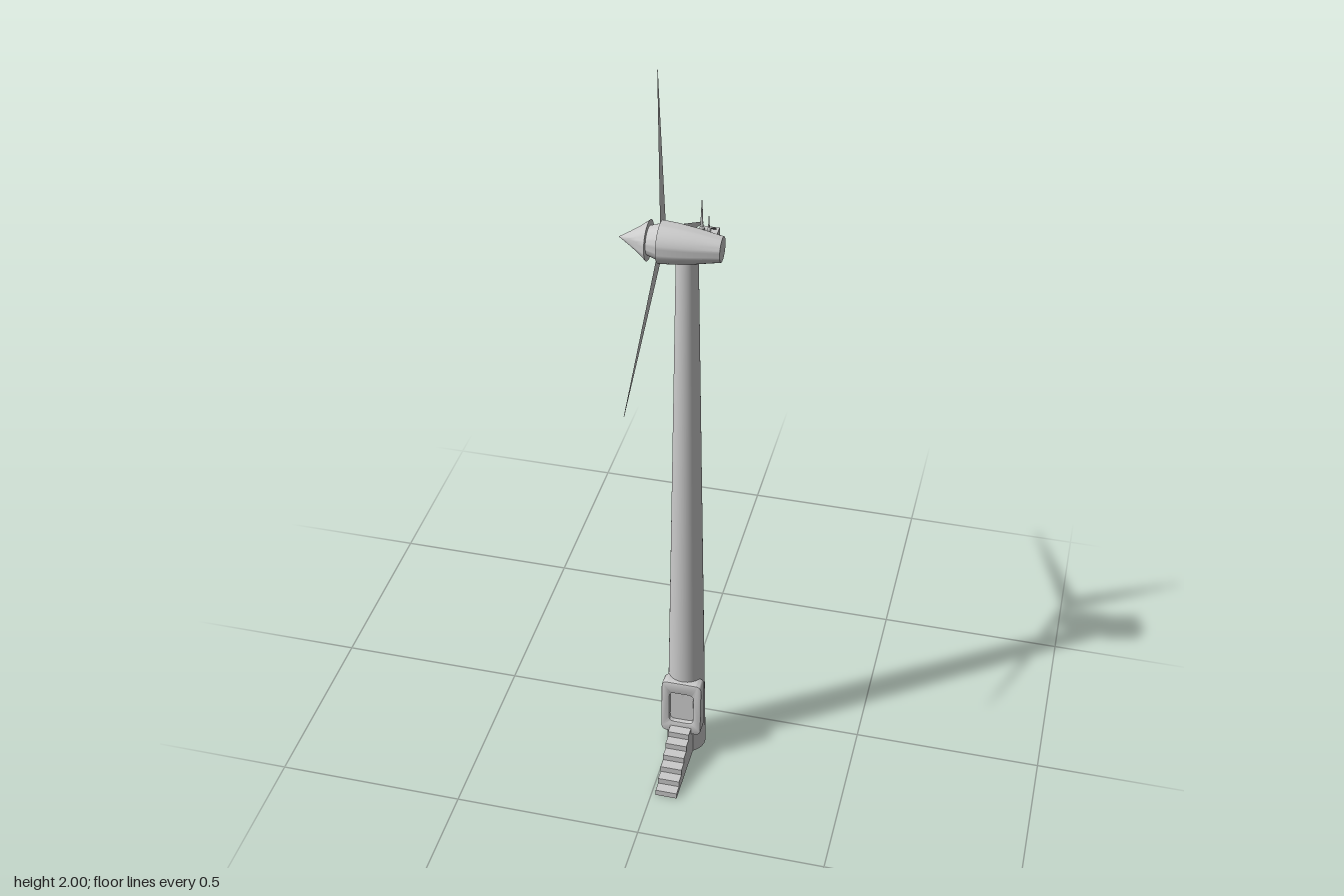
import * as THREE from 'three';
import { toCreasedNormals } from 'three/addons/utils/BufferGeometryUtils.js';

const TOWER = { x: 0.041, z: 0.126 };
const AXIS_Y = 1.587;

export function createModel() {
  const model = new THREE.Group();
  model.name = 'windTurbine';
  const grey = new THREE.MeshStandardMaterial({ color: 0xcccccc });
  const sheet = new THREE.MeshStandardMaterial({ color: 0xcccccc, side: THREE.DoubleSide });
  const dark = new THREE.MeshStandardMaterial({ color: 0x333333 });

  function add(name, geometry, x, y, z, material = grey, parent = model) {
    const mesh = new THREE.Mesh(geometry, material);
    mesh.name = name;
    mesh.position.set(x, y, z);
    parent.add(mesh);
    return mesh;
  }
  // Turned part with sharp profile corners; points are [radius, height]
  function turned(points, sides = 40) {
    const profile = points.map(([r, h]) => new THREE.Vector2(r, h));
    return toCreasedNormals(new THREE.LatheGeometry(profile, sides), 0.5);
  }
  function roundedRect(path, w, h, r) {
    const x = w / 2, y = h / 2;
    path.moveTo(-x + r, -y);
    path.lineTo(x - r, -y);
    path.quadraticCurveTo(x, -y, x, -y + r);
    path.lineTo(x, y - r);
    path.quadraticCurveTo(x, y, x - r, y);
    path.lineTo(-x + r, y);
    path.quadraticCurveTo(-x, y, -x, y - r);
    path.lineTo(-x, -y + r);
    path.quadraticCurveTo(-x, -y, -x + r, -y);
    return path;
  }

  // Tapered tower
  add('tower', new THREE.CylinderGeometry(0.027, 0.053, 1.56, 40), TOWER.x, 0.78, TOWER.z);

  // Nacelle parts, turned about the x axis
  const nacelle = new THREE.Group();
  nacelle.name = 'nacelle';
  nacelle.position.set(0, AXIS_Y, 0.124);
  nacelle.rotation.z = -Math.PI / 2;
  model.add(nacelle);
  add('noseCone', turned([[0, -0.126], [0.008, -0.112], [0.018, -0.096], [0.032, -0.075],
    [0.05, -0.052], [0, -0.052]]), 0, 0, 0, grey, nacelle);
  add('neck', turned([[0.035, -0.053], [0.045, -0.023]]), 0, 0, 0, grey, nacelle);
  add('nacelleBody', turned([[0, -0.024], [0.052, -0.024], [0.049, 0.015], [0.043, 0.06],
    [0.031, 0.125], [0, 0.125]]), 0, 0, 0, grey, nacelle);

  // Three thin blades cut as one star-shaped sheet in the yz plane
  const star = new THREE.Shape();
  const polar = (r, degrees) => {
    const a = THREE.MathUtils.degToRad(degrees);
    return [r * Math.cos(a), r * Math.sin(a)];
  };
  for (let i = 0; i < 3; i++) {
    const angle = 84.7 + i * 120;
    if (i === 0) star.moveTo(...polar(0.462, angle - 0.3));
    else star.lineTo(...polar(0.462, angle - 0.3));
    star.lineTo(...polar(0.462, angle + 0.3));
    star.lineTo(...polar(0.031, angle + 60));
  }
  star.closePath();
  const rotor = add('rotorBlades', new THREE.ShapeGeometry(star), -0.043, 1.538, 0.024, sheet);
  rotor.rotation.y = -Math.PI / 2;

  // Equipment box on the back of the nacelle, with its vent and two masts
  add('equipmentBox', new THREE.BoxGeometry(0.044, 0.055, 0.035), 0.085, 1.588, 0.0925);
  add('vent', new THREE.BoxGeometry(0.013, 0.002, 0.006), 0.094, 1.6158, 0.083, dark);
  for (const [name, x, radius, height] of [['tallMast', 0.069, 0.007, 0.085], ['shortMast', 0.086, 0.0045, 0.045]]) {
    add(name, turned([[0, 0], [radius, 0], [radius, 0.012], [radius * 0.5, 0.016],
      [radius * 0.35, height * 0.6], [0.0008, height], [0, height]], 12), x, 1.611, 0.098);
  }

  // Door frame leaning with the tower, and the recessed door
  const entrance = new THREE.Group();
  entrance.name = 'entrance';
  entrance.position.set(TOWER.x, 0.168, 0.155);
  entrance.rotation.x = -0.05;
  model.add(entrance);
  const frame = roundedRect(new THREE.Shape(), 0.104, 0.164, 0.014);
  const opening = roundedRect(new THREE.Path(), 0.072, 0.104, 0.018);
  frame.holes.push(opening);
  add('doorFrame', toCreasedNormals(new THREE.ExtrudeGeometry(frame, {
    depth: 0.032, bevelEnabled: true, bevelThickness: 0.003, bevelSize: 0.003, bevelSegments: 2, curveSegments: 8,
  }), 0.6), 0, 0, 0, grey, entrance);
  add('door', new THREE.BoxGeometry(0.076, 0.108, 0.012), 0, 0, 0.016, grey, entrance);

  // Solid stair block, drawn in profile (z, y) and extruded across x
  const steps = 6, run = 0.0275, rise = 0.0175, front = 0.357, width = 0.058;
  const profile = new THREE.Shape();
  profile.moveTo(0.15, 0);
  profile.lineTo(front, 0);
  for (let i = 0; i < steps; i++) {
    profile.lineTo(front - i * run, (i + 1) * rise);
    profile.lineTo(i === steps - 1 ? 0.15 : front - (i + 1) * run, (i + 1) * rise);
  }
  profile.closePath();
  const stairs = add('stairs', new THREE.ExtrudeGeometry(profile, { depth: width, bevelEnabled: false }),
    TOWER.x + width / 2, 0, 0);
  stairs.rotation.y = -Math.PI / 2;

  return model;
}
